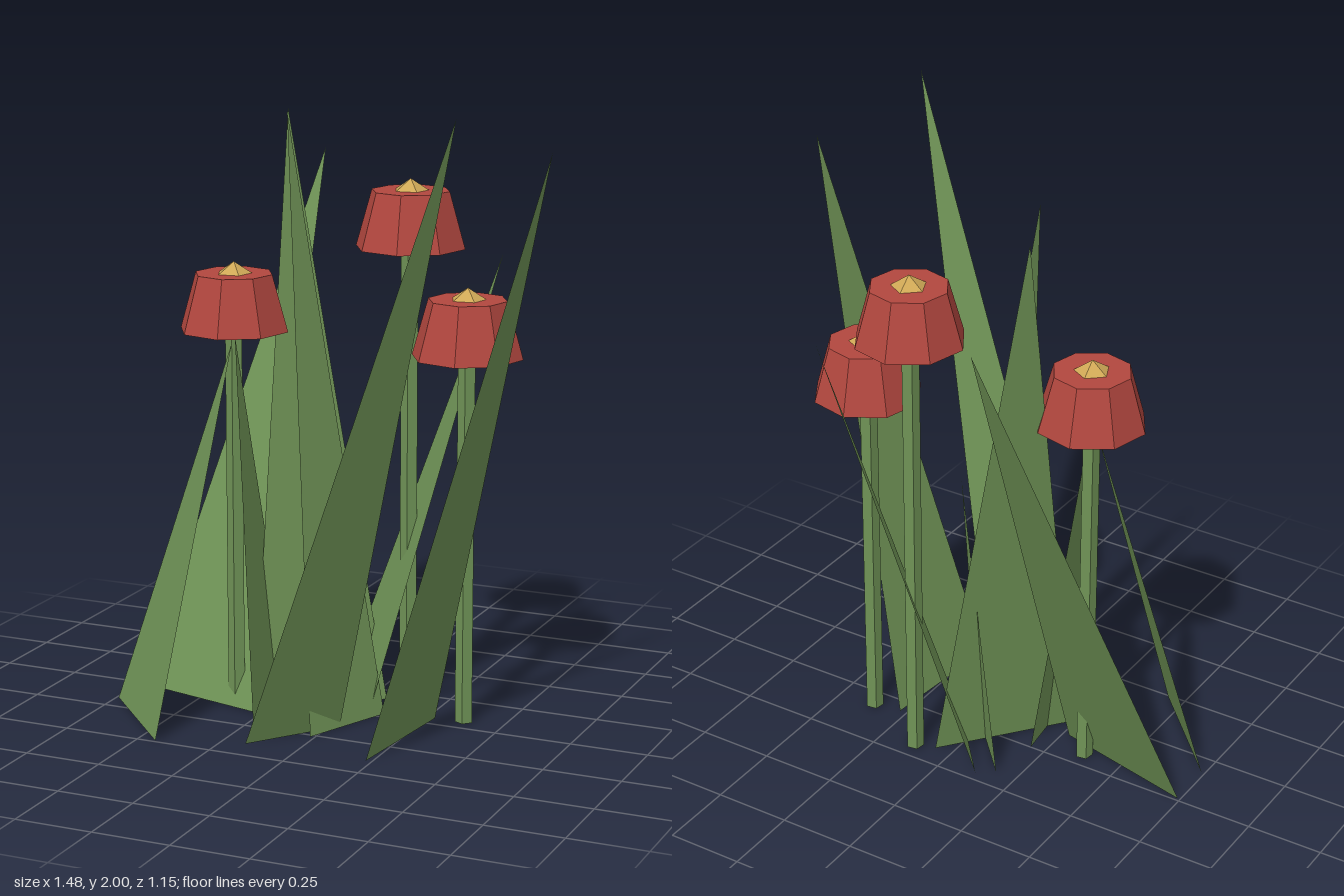
import * as THREE from 'three';

const leafGreen = new THREE.MeshStandardMaterial({ color: 0x6f9356, flatShading: true, side: THREE.DoubleSide });
leafGreen.name = 'leaf green';
const petalRed = new THREE.MeshStandardMaterial({ color: 0xb2473f, flatShading: true });
petalRed.name = 'petal red';
const pollenGold = new THREE.MeshStandardMaterial({ color: 0xcfa856, flatShading: true });
pollenGold.name = 'pollen gold';

// Leaf blade: two ground corners [x, z] and a pointed tip [x, y, z]
function blade(a, b, tip) {
  const geo = new THREE.BufferGeometry();
  geo.setAttribute('position', new THREE.Float32BufferAttribute([a[0], 0, a[1], b[0], 0, b[1], ...tip], 3));
  geo.computeVertexNormals();
  const mesh = new THREE.Mesh(geo, leafGreen);
  mesh.name = 'leafBlade';
  return mesh;
}

// Flower: stem, bell-shaped head and a small pointed centre
function flower(x, z, rimY) {
  const group = new THREE.Group();
  group.name = 'flower';
  const add = (name, geo, mat, y, turn) => {
    const mesh = new THREE.Mesh(geo, mat);
    mesh.name = name;
    mesh.position.y = y;
    mesh.rotation.y = turn;
    group.add(mesh);
  };
  const stemHeight = rimY + 0.03;
  add('stem', new THREE.CylinderGeometry(0.029, 0.029, stemHeight, 5), leafGreen, stemHeight / 2, 0.15);
  add('flowerHead', new THREE.CylinderGeometry(0.125, 0.176, 0.18, 8), petalRed, rimY + 0.09, 0.15);
  add('flowerCentre', new THREE.ConeGeometry(0.057, 0.037, 5), pollenGold, rimY + 0.1985, Math.PI + 0.1);
  group.position.set(x, 0, z);
  return group;
}

export function createModel() {
  const model = new THREE.Group();
  model.name = 'flowerClump';

  // Leaves fanning out from the clump
  const leaves = [
    [[-0.742, 0.01], [-0.272, 0.125], [-0.335, 1.73, -0.573]],
    [[-0.742, 0.17], [-0.44, 0.493], [-0.35, 1.2, 0.11]],
    [[-0.172, 0.405], [0.03, 0.14], [0.58, 2, 0.573]],
    [[0.23, 0.395], [0.275, -0.055], [0.738, 1.87, 0.213]],
    [[-0.24, 0.2], [0.06, -0.17], [-0.29, 1.905, -0.183]],
    [[-0.015, 0.265], [0.11, -0.03], [-0.188, 1.925, 0.043]],
    [[-0.125, -0.218], [0.075, 0.02], [0.39, 1.465, -0.315]],
    [[-0.18, -0.18], [0.03, 0.05], [0, 0.995, -0.1]],
    [[-0.155, 0.378], [-0.2, 0.0], [-0.345, 1.22, 0.1]],
  ];
  for (const [a, b, tip] of leaves) model.add(blade(a, b, tip));

  // Three flowers
  model.add(flower(-0.366, 0.06, 1.23), flower(0.128, -0.187, 1.487), flower(0.37, -0.065, 1.18));
  return model;
}
